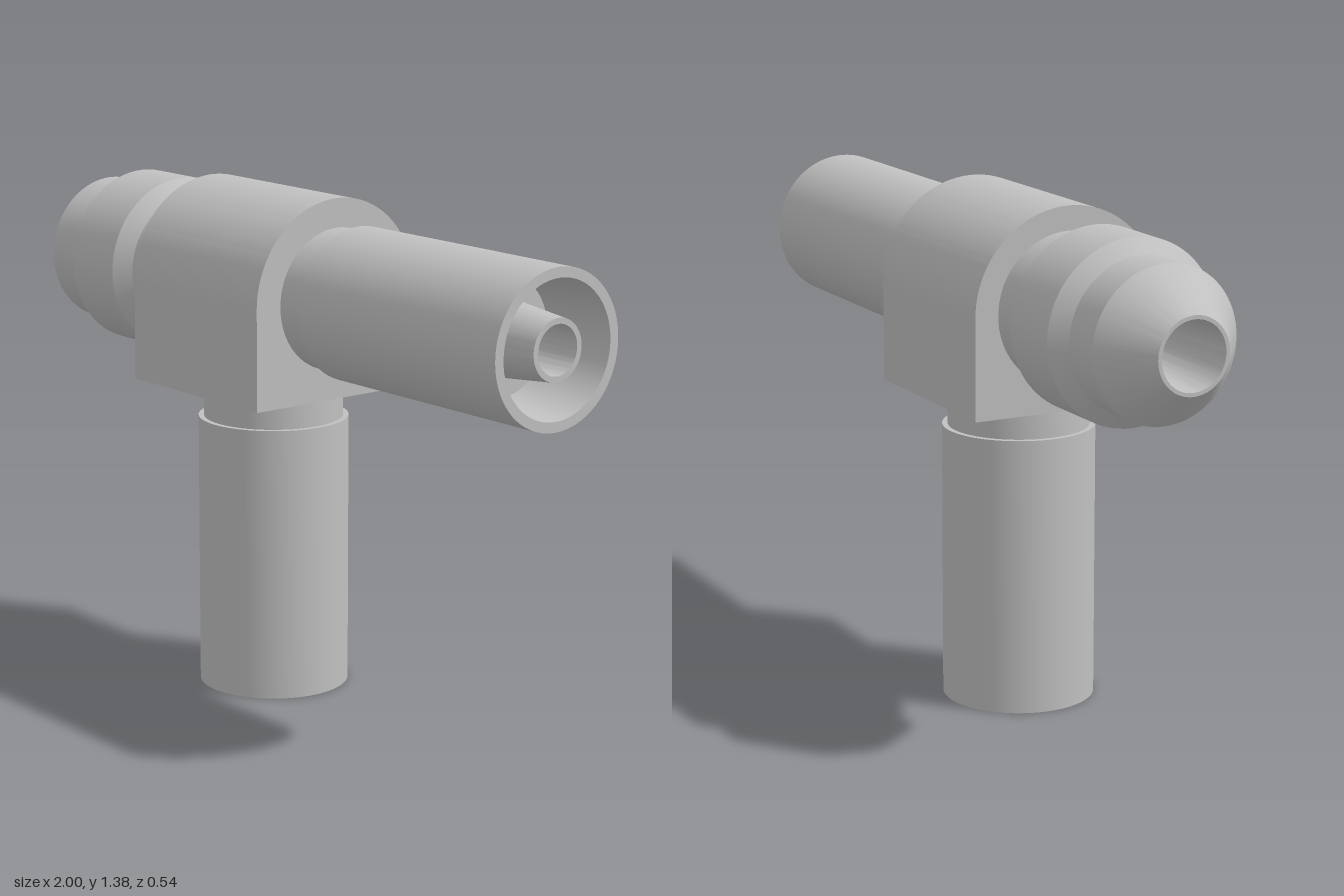
import * as THREE from 'three';
import { toCreasedNormals } from 'three/addons/utils/BufferGeometryUtils.js';

const AXIS_Y = 1.11, BRANCH_X = -0.11, BORE = 0.065;
const BODY_MIN = -0.38, BODY_MAX = 0.16, BODY_R = 0.268, BODY_BOTTOM = 0.84;

export function createModel() {
  const group = new THREE.Group();
  const grey = new THREE.MeshStandardMaterial({ color: 0xc0c0c0 });
  grey.name = 'light grey';

  const add = (name, geometry) => {
    const mesh = new THREE.Mesh(toCreasedNormals(geometry, 0.5), grey);
    mesh.name = name;
    group.add(mesh);
    return mesh;
  };
  // Closed [radius, distance from body] profile turned about its axis
  const turned = (profile) =>
    new THREE.LatheGeometry(profile.map(([r, d]) => new THREE.Vector2(r, d)), 72);

  // Arched body with a through bore
  const arch = new THREE.Shape();
  arch.moveTo(-BODY_R, BODY_BOTTOM - AXIS_Y);
  arch.lineTo(BODY_R, BODY_BOTTOM - AXIS_Y);
  arch.lineTo(BODY_R, 0);
  arch.absarc(0, 0, BODY_R, 0, Math.PI, false);
  arch.closePath();
  const bore = new THREE.Path();
  bore.absarc(0, 0, BORE, 0, Math.PI * 2, true);
  arch.holes.push(bore);
  const bodyGeometry = new THREE.ExtrudeGeometry(arch, {
    depth: BODY_MAX - BODY_MIN, bevelEnabled: false, curveSegments: 40,
  });
  bodyGeometry.rotateY(Math.PI / 2);
  add('body', bodyGeometry).position.set(BODY_MIN, AXIS_Y, 0);

  // Neck and hollow sleeve around a tapered nozzle, used twice
  const L = 0.84, floor = L - 0.2;
  const socket = [
    [BORE, 0], [0.19, 0], [0.19, 0.09], [0.205, 0.09], [0.205, L],
    [0.178, L], [0.155, floor], [0.1, floor], [0.08, L], [BORE, L], [BORE, 0],
  ];
  const side = add('sideSocket', turned(socket));
  side.rotation.z = -Math.PI / 2;
  side.position.set(BODY_MAX, AXIS_Y, 0);
  const lower = add('lowerSocket', turned(socket));
  lower.rotation.x = Math.PI;
  lower.position.set(BRANCH_X, BODY_BOTTOM, 0);

  // Collared plug with a conical tip and flared mouth
  const plug = add('collaredPlug', turned([
    [BORE, 0], [0.203, 0], [0.203, 0.1], [0.242, 0.14], [0.242, 0.33],
    [0.203, 0.37], [0.203, 0.485], [0.1, 0.62], [0.09, 0.62], [BORE, 0.25], [BORE, 0],
  ]));
  plug.rotation.z = Math.PI / 2;
  plug.position.set(BODY_MIN, AXIS_Y, 0);

  return group;
}
